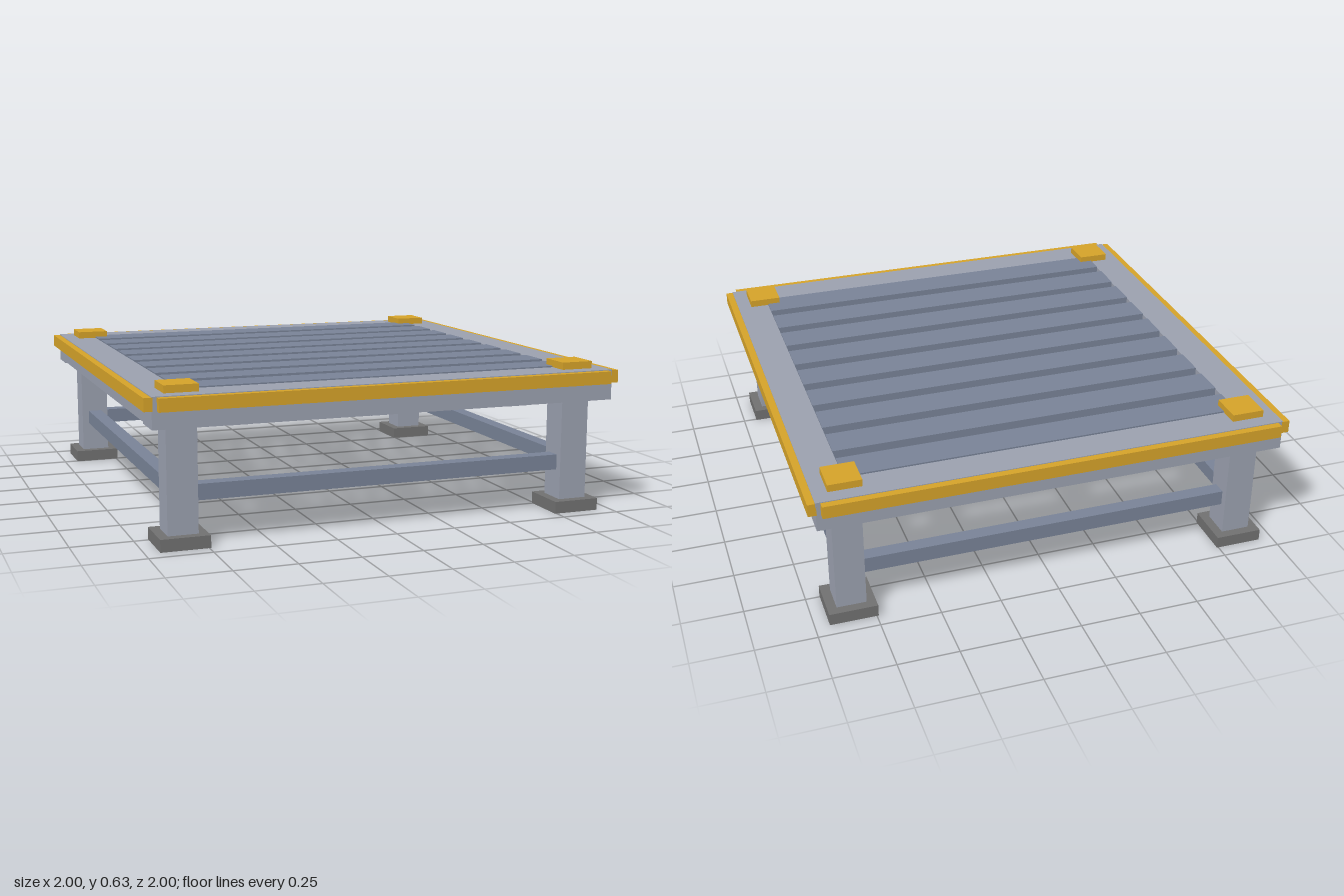
import * as THREE from 'three';

const mat = (color) => new THREE.MeshStandardMaterial({ color });

export function createModel() {
  const model = new THREE.Group();
  const frameMat = mat(0x9aa0ae);
  const slatMat = mat(0x788296);
  const trimMat = mat(0xd4a229);
  const footMat = mat(0x707070);

  // Box given by its extents along each axis
  const box = (name, material, [x0, x1], [y0, y1], [z0, z1]) => {
    const mesh = new THREE.Mesh(new THREE.BoxGeometry(x1 - x0, y1 - y0, z1 - z0), material);
    mesh.position.set((x0 + x1) / 2, (y0 + y1) / 2, (z0 + z1) / 2);
    mesh.name = name;
    model.add(mesh);
  };
  const around = (c, half) => [c - half, c + half];

  const post = 0.842; // leg centre in x and z

  for (const s of [-1, 1]) {
    // Top frame rails
    box('endRail', frameMat, [-0.97, 0.97], [0.475, 0.6], around(s * 0.9, 0.07));
    box('sideRail', frameMat, around(s * 0.9, 0.07), [0.482, 0.6], [-0.83, 0.83]);

    // Edge trim, notched at the corners
    box('endTrim', trimMat, [-0.95, 0.95], [0.545, 0.597], around(s * 0.983, 0.017));
    box('sideTrim', trimMat, around(s * 0.983, 0.017), [0.545, 0.597], [-0.97, 0.97]);

    // Low stretchers between the legs
    box('endStretcher', slatMat, [-0.79, 0.79], [0.172, 0.236], around(s * post, 0.03));
    box('sideStretcher', slatMat, around(s * post, 0.03), [0.178, 0.24], [-0.79, 0.79]);

    // Legs with foot plates and corner caps
    for (const t of [-1, 1]) {
      const x = s * post, z = t * post;
      box('foot', footMat, around(x, 0.099), [0, 0.05], around(z, 0.099));
      box('leg', frameMat, around(x, 0.061), [0.05, 0.52], around(z, 0.061));
      box('cornerCap', trimMat, around(x, 0.068), [0.495, 0.63], around(z, 0.068));
    }
  }

  // Joists under the deck
  for (const x of [-0.6, 0, 0.6]) {
    box('joist', frameMat, around(x, 0.049), [0.448, 0.545], [-0.84, 0.84]);
  }

  // Deck slats
  for (let i = 0; i < 9; i++) {
    box('deckSlat', slatMat, [-0.83, 0.83], [0.545, 0.605], around((i - 4) * 0.19, 0.068));
  }

  return model;
}
